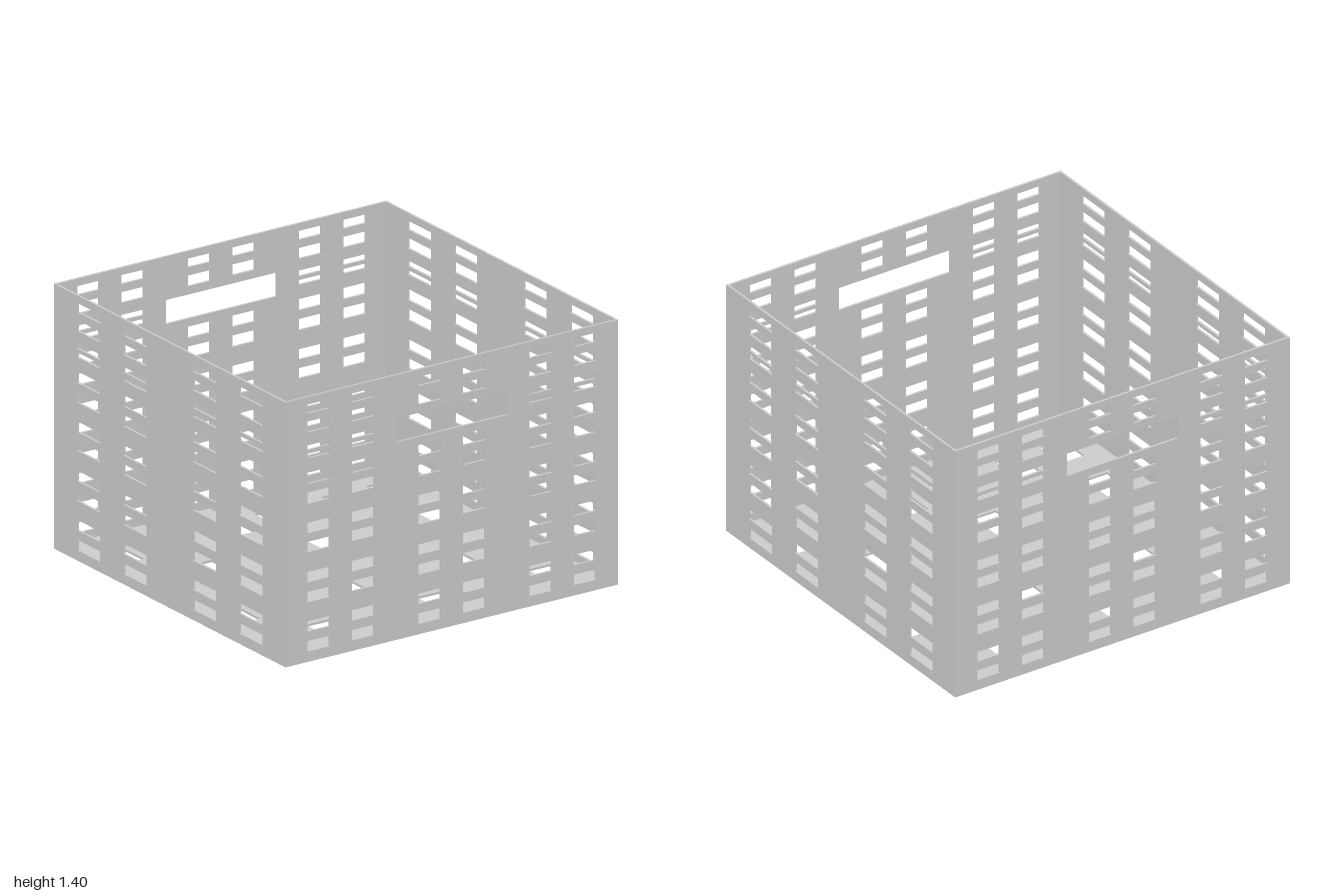
import * as THREE from 'three';

const T = 0.012; // panel thickness
const H = 1.4;
const material = new THREE.MeshStandardMaterial({ color: 0xcccccc });

// Slot ranges: across the front, across the side, and up the walls
const half = [[0.067, 0.2], [0.467, 0.6], [0.733, 0.867]];
const sideHalf = [[0.2, 0.4], [0.6, 0.8]];
const mirror = (list) => [...list, ...list.map(([a, b]) => [-b, -a])];
const frontCols = mirror(half);
const sideCols = mirror(sideHalf);
const rows = [
  [0.055, 0.11], [0.16, 0.215], [0.315, 0.37], [0.42, 0.475],
  [0.58, 0.635], [0.68, 0.735], [0.835, 0.895], [0.94, 1.0],
  [1.075, 1.1], [1.12, 1.15], [1.213, 1.27], [1.313, 1.36],
];
const handle = [-0.333, 0.333, 1.043, 1.17];

const grid = (cols, lines) => cols.flatMap(([a, b]) => lines.map(([c, d]) => [a, b, c, d]));

// Flat panel with rectangular holes, extruded from z = 0 to z = T
function panel(name, x0, x1, y0, y1, holes) {
  const corners = ([a, b, c, d]) => [[a, c], [b, c], [b, d], [a, d]].map((p) => new THREE.Vector2(...p));
  const shape = new THREE.Shape(corners([x0, x1, y0, y1]));
  for (const h of holes) shape.holes.push(new THREE.Path(corners(h).reverse()));
  const geometry = new THREE.ExtrudeGeometry(shape, { depth: T, bevelEnabled: false });
  const mesh = new THREE.Mesh(geometry, material);
  mesh.name = name;
  return mesh;
}

export function createModel() {
  const crate = new THREE.Group();
  crate.name = 'crate';

  // Slotted floor
  const floor = panel('floor', -1, 1, -1, 1, grid(frontCols, sideCols));
  floor.rotation.x = -Math.PI / 2;
  crate.add(floor);

  // Front and back walls: the hand hole replaces the slots it covers
  const slots = grid(frontCols, rows).filter(
    ([a, b, c, d]) => b < handle[0] || a > handle[1] || d < handle[2] || c > handle[3]);
  for (const [name, z] of [['frontWall', 1 - T], ['backWall', -1]]) {
    const wall = panel(name, -1, 1, T, H, [...slots, handle]);
    wall.position.z = z;
    crate.add(wall);
  }

  // Side walls fit between the front and back walls
  for (const [name, x] of [['leftWall', 1 - T], ['rightWall', -1]]) {
    const wall = panel(name, -1 + T, 1 - T, T, H, grid(sideCols, rows));
    wall.rotation.y = Math.PI / 2;
    wall.position.x = x;
    crate.add(wall);
  }
  return crate;
}
